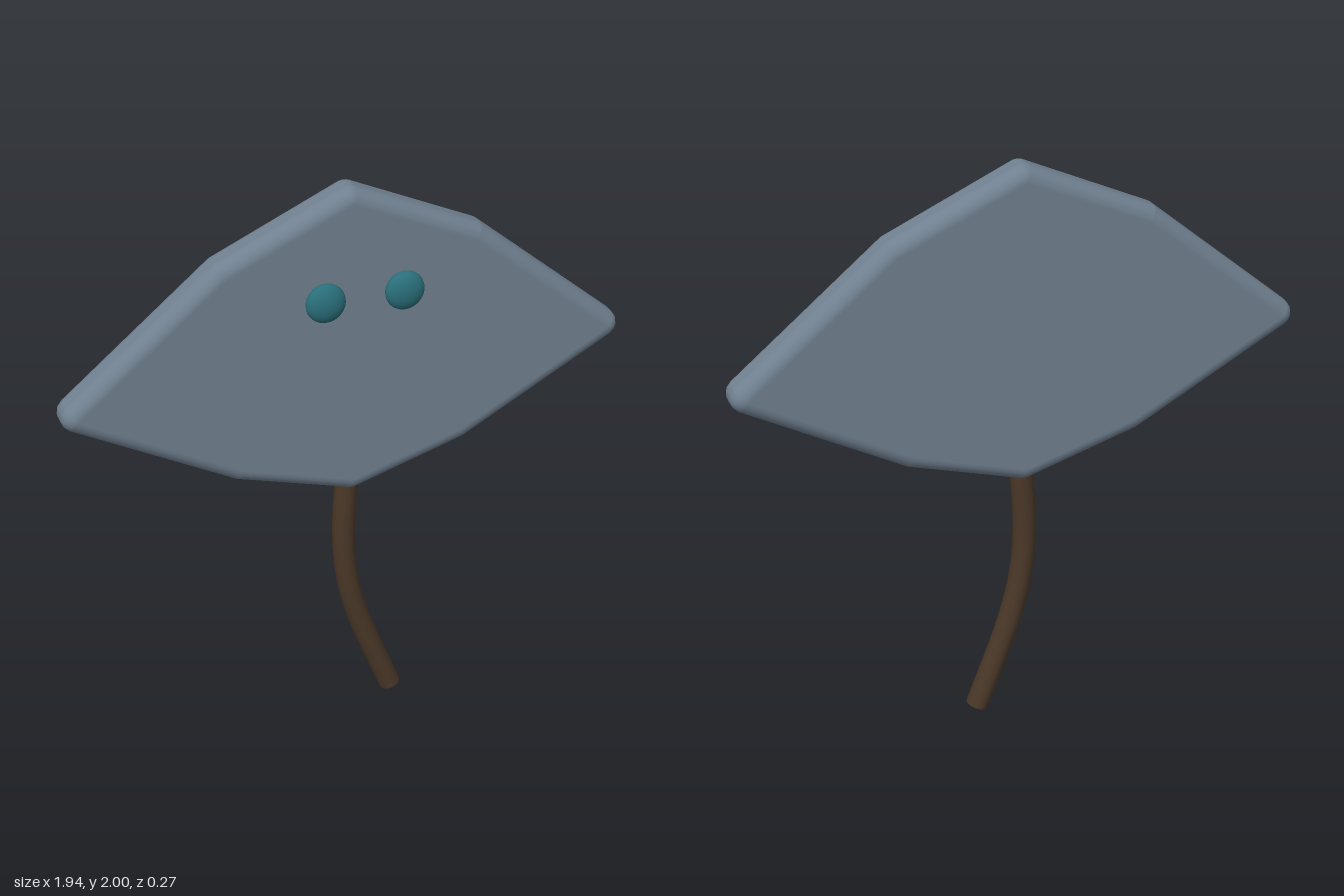
import * as THREE from 'three';

const mat = (color) => new THREE.MeshStandardMaterial({ color });

// Slab with a convex outline (counter-clockwise), its rim and corners rounded by radius r.
function roundedSlab(corners, r, halfDepth, arcSteps = 4, rimSteps = 5) {
  const n = corners.length;
  const rim = []; // each entry: corner point and outward direction
  const edgeAngle = (i) => {
    const [ax, ay] = corners[(i + n) % n], [bx, by] = corners[(i + 1) % n];
    return Math.atan2(ax - bx, by - ay);
  };
  for (let i = 0; i < n; i++) {
    const from = edgeAngle(i - 1);
    let turn = edgeAngle(i) - from;
    if (turn < 0) turn += Math.PI * 2;
    for (let k = 0; k <= arcSteps; k++) {
      const a = from + (turn * k) / arcSteps;
      rim.push([...corners[i], Math.cos(a), Math.sin(a)]);
    }
  }

  const pos = [], nor = [], idx = [], m = rim.length;
  const addRing = (angle, z) => {
    const c = Math.cos(angle), s = Math.sin(angle);
    for (const [x, y, nx, ny] of rim) {
      pos.push(x + nx * r * c, y + ny * r * c, z + r * s);
      nor.push(nx * c, ny * c, s);
    }
  };
  const q = Math.PI / 2, flat = halfDepth - r;
  for (let i = 0; i <= rimSteps; i++) addRing(q * (1 - i / rimSteps), flat);
  for (let i = 0; i <= rimSteps; i++) addRing((-q * i) / rimSteps, -flat);

  const last = 2 * rimSteps + 1;
  for (let i = 0; i < last; i++) {
    for (let j = 0; j < m; j++) {
      const k = (j + 1) % m, a = i * m, b = a + m;
      idx.push(a + j, b + j, b + k, a + j, b + k, a + k);
    }
  }
  // flat front and back
  for (let j = 1; j < m - 1; j++) {
    idx.push(0, j, j + 1, last * m, last * m + j + 1, last * m + j);
  }

  const g = new THREE.BufferGeometry();
  g.setAttribute('position', new THREE.Float32BufferAttribute(pos, 3));
  g.setAttribute('normal', new THREE.Float32BufferAttribute(nor, 3));
  g.setIndex(idx);
  return g;
}

export function createModel() {
  const model = new THREE.Group();
  const midZ = -0.067;

  // Flat kite-shaped body
  const outline = [
    [0.92, 1.355], [0.425, 1.76], [0, 1.95], [-0.425, 1.76],
    [-0.92, 1.355], [-0.385, 1.065], [0, 0.95], [0.385, 1.065],
  ];
  const body = new THREE.Mesh(roundedSlab(outline, 0.05, 0.066), mat(0x708090));
  body.name = 'body';
  body.position.z = midZ;
  model.add(body);

  // Curved tail with closed end
  const tail = new THREE.Group();
  tail.name = 'tail';
  tail.position.z = midZ;
  const path = new THREE.CatmullRomCurve3(
    [[0, 0.97], [-0.016, 0.69], [0, 0.5], [0.043, 0.33], [0.16, 0.016]]
      .map(([x, y]) => new THREE.Vector3(x, y, 0)));
  const tailMat = mat(0x4a3828);
  const tube = new THREE.Mesh(new THREE.TubeGeometry(path, 12, 0.04, 12), tailMat);
  tube.name = 'tailTube';
  const end = new THREE.Mesh(new THREE.CircleGeometry(0.04, 12), tailMat);
  end.name = 'tailEnd';
  end.position.copy(path.getPoint(1));
  end.quaternion.setFromUnitVectors(new THREE.Vector3(0, 0, 1), path.getTangent(1));
  tail.add(tube, end);
  model.add(tail);

  // Flattened eyes floating in front of the body
  const eyeGeo = new THREE.SphereGeometry(0.066, 24, 16);
  const eyeMat = mat(0x2a6f7a);
  for (const [side, name] of [[1, 'leftEye'], [-1, 'rightEye']]) {
    const eye = new THREE.Mesh(eyeGeo, eyeMat);
    eye.name = name;
    eye.scale.z = 0.53;
    eye.position.set(side * 0.133, 1.68, 0.098);
    model.add(eye);
  }

  return model;
}
